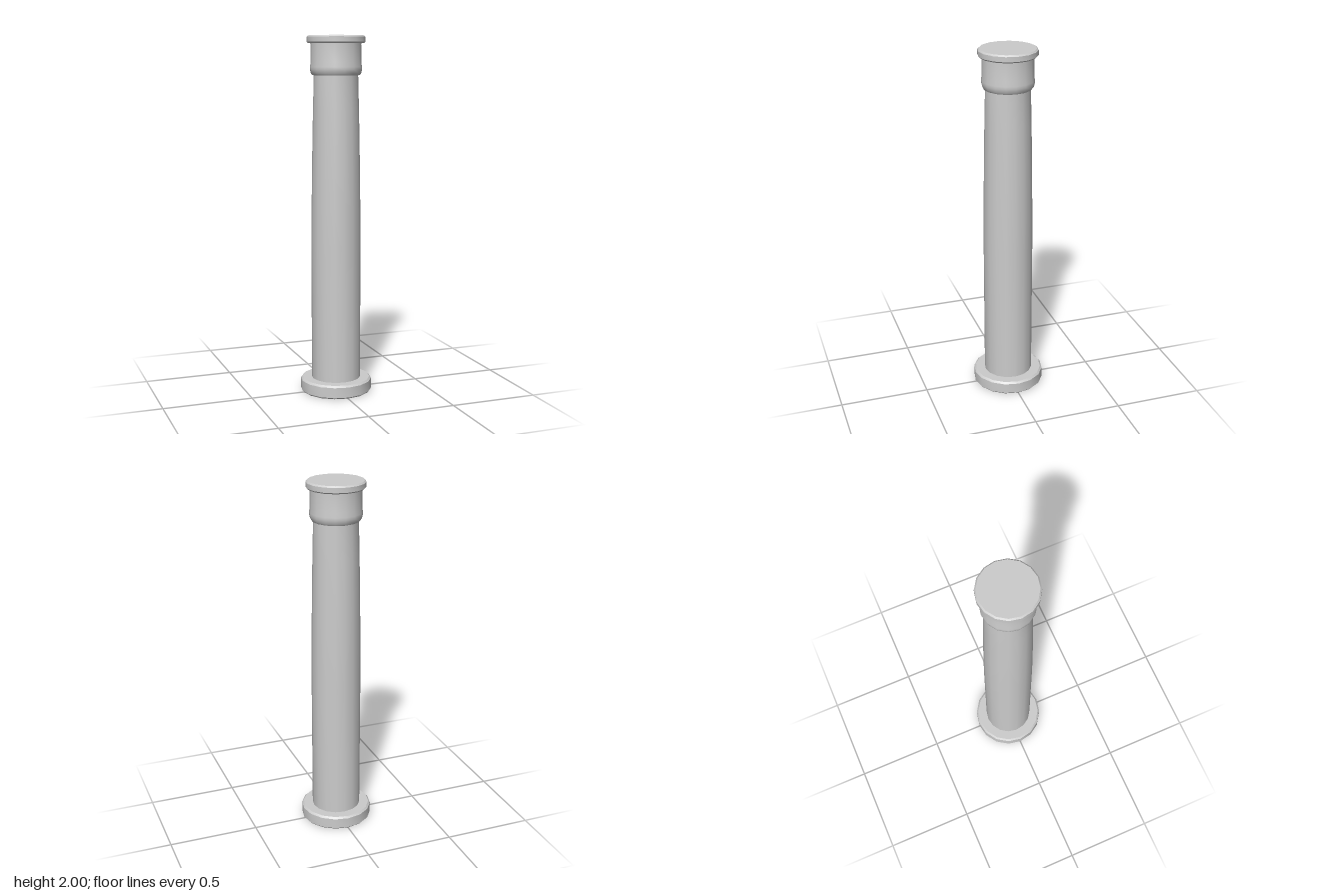
import * as THREE from 'three';
import { toCreasedNormals } from 'three/addons/utils/BufferGeometryUtils.js';

const SIDES = 16;
const material = new THREE.MeshStandardMaterial({ color: 0xcccccc, side: THREE.DoubleSide });

// Turned part from [radius, height] points listed bottom to top
function turned(name, profile) {
  const points = profile.map(([r, y]) => new THREE.Vector2(r, y));
  const geometry = toCreasedNormals(new THREE.LatheGeometry(points, SIDES), 0.6);
  const mesh = new THREE.Mesh(geometry, material);
  mesh.name = name;
  return mesh;
}

export function createModel() {
  const column = new THREE.Group();
  column.name = 'column';

  column.add(
    // Chamfered base ring, open underneath
    turned('base', [[0.193, 0], [0.201, 0.008], [0.201, 0.066], [0.191, 0.076], [0.138, 0.076]]),

    // Hollow shaft: straight below, gently tapering above
    turned('shaft', [
      [0.138, 0.076], [0.138, 0.86], [0.1365, 1.04], [0.134, 1.23],
      [0.131, 1.41], [0.127, 1.6], [0.122, 1.785],
    ]),

    // Capital neck with a rounded lower lip
    turned('capital', [
      [0.122, 1.785], [0.131, 1.785], [0.138, 1.795], [0.143, 1.815],
      [0.143, 1.83], [0.139, 1.855], [0.138, 1.958],
    ]),

    // Chamfered top slab, closed on top
    turned('topSlab', [
      [0.138, 1.958], [0.154, 1.958], [0.161, 1.965], [0.161, 1.992], [0.153, 2], [0, 2],
    ]),
  );
  return column;
}
